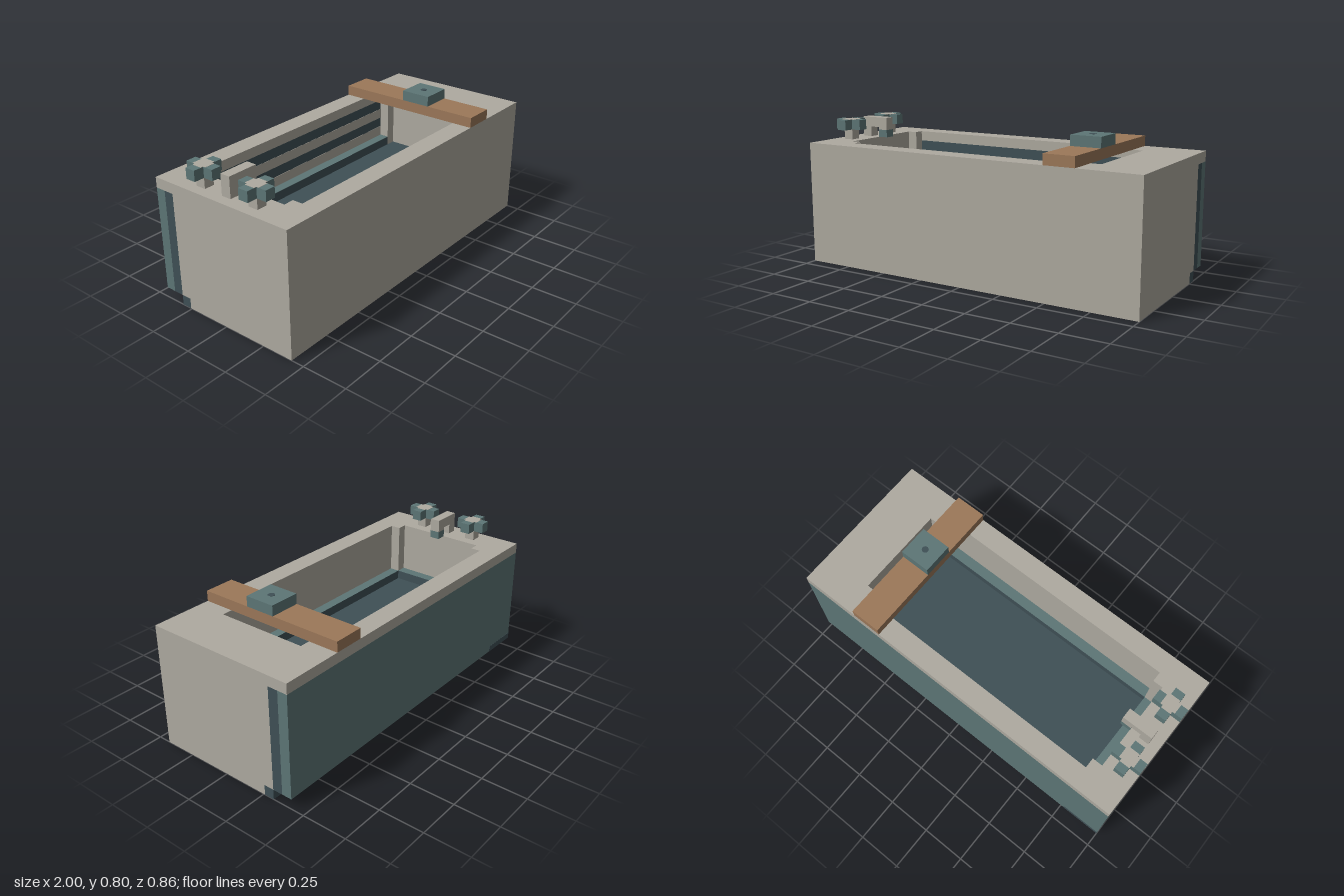
import * as THREE from 'three';

const U = 2 / 35; // one block; the tub is 35 x 14 x 15 blocks
const mat = (name, color) => {
  const m = new THREE.MeshStandardMaterial({ color });
  m.name = name;
  return m;
};

export function createModel() {
  const root = new THREE.Group();
  root.name = 'bathtub';
  const stone = mat('stone grey', 0xaeaaa0);
  const teal = mat('teal', 0x5d7676);
  const dark = mat('dark slate', 0x3f5056);
  const wood = mat('wood brown', 0x9c7859);

  const add = (name, geo, material, parent = root) => {
    geo.translate(-17.5, 0, -7.5);
    geo.scale(U, U, U);
    const mesh = new THREE.Mesh(geo, material);
    mesh.name = name;
    parent.add(mesh);
    return mesh;
  };
  // Box between block coordinates; z counts from the back
  const box = (name, x0, x1, y0, y1, z0, z1, material, parent) => {
    const g = new THREE.BoxGeometry(x1 - x0, y1 - y0, z1 - z0);
    g.translate((x0 + x1) / 2, (y0 + y1) / 2, (z0 + z1) / 2);
    return add(name, g, material, parent);
  };
  // Plan outline extruded between two heights
  const slab = (name, shape, y0, y1, material) => {
    const g = new THREE.ExtrudeGeometry(shape, { depth: y1 - y0, bevelEnabled: false });
    g.rotateX(Math.PI / 2);
    g.translate(0, y1, 0);
    return add(name, g, material);
  };
  // Teal box with one face in another colour
  const sided = (face, other) => Array.from({ length: 6 }, (_, i) => (i === face ? other : teal));
  const pts = (list) => list.map(([x, z]) => new THREE.Vector2(x, z));

  // Basin outline with stepped corners
  const basin = [[4, 2], [4, 3], [3, 3], [3, 12], [4, 12], [4, 13],
    [29, 13], [29, 12], [30, 12], [30, 3], [29, 3], [29, 2]];

  // Tub shell
  const rim = new THREE.Shape(pts([[0, 0], [35, 0], [35, 15], [0, 15]]));
  rim.holes.push(new THREE.Path(pts(basin)));
  slab('rim', rim, 11, 12, stone);
  const wall = new THREE.Shape(pts([[0, 2], ...basin, [35, 2], [35, 15], [0, 15]]));
  slab('tubWalls', wall, 6, 11, stone);
  box('tubBase', 0, 35, 1, 6, 2, 15, stone);
  box('plinth', 0, 35, 0, 1, 3, 15, stone);

  // Layered back
  box('backPanel', 0, 35, 1, 11, 0, 1, sided(3, dark));
  box('backLining', 0, 35, 1, 11, 1, 2, dark);
  box('toeStrip', 0, 35, 0, 1, 2, 3, dark);
  box('panelPatch', 0, 4, 1, 1.6, -0.02, 0.02, dark);

  // Stone bands on the inner back wall
  for (const y of [7, 9]) box('wallBand', 4, 29, y, y + 1, 1.95, 2.03, stone);

  // Basin ledge and floor
  box('backLedge', 4, 29, 6, 7, 2, 3, sided(4, dark));
  box('frontLedge', 4, 29, 6, 7, 12, 13, sided(5, dark));
  box('endLedge', 3, 4, 6, 7, 3, 12, sided(0, dark));
  box('basinFloor', 4, 30, 6, 6.1, 3, 12, dark);

  // Tap handles: crosses on short stems
  for (const z of [4.5, 10.5]) {
    const tap = new THREE.Group();
    tap.name = 'tap';
    root.add(tap);
    box('tapStem', 1, 2, 12, 13, z - 0.5, z + 0.5, stone, tap);
    const cross = new THREE.Shape(pts([[0, -0.5], [1, -0.5], [1, -1.5], [2, -1.5], [2, -0.5], [3, -0.5],
      [3, 0.5], [2, 0.5], [2, 1.5], [1, 1.5], [1, 0.5], [0, 0.5]].map(([x, dz]) => [x, z + dz])));
    tap.add(slab('tapHandle', cross, 13, 14, teal));
    // Stone cap leaving the arm tips teal
    box('tapCap', 0.75, 2.25, 13.99, 14.02, z - 0.5, z + 0.5, stone, tap);
    for (const s of [-1, 1]) {
      box('tapCapArm', 1, 2, 13.99, 14.02, z + s * 0.625 - 0.125, z + s * 0.625 + 0.125, stone, tap);
    }
  }

  // Spout
  box('spoutStem', 1, 2, 12, 13, 7, 8, stone);
  box('spoutArm', 1, 4, 13, 14, 7, 8, stone);
  box('spoutNeck', 3, 4, 12.75, 13, 7, 8, stone);
  box('spoutMouth', 3, 4, 12, 12.75, 7, 8, teal);

  // Bath board with soap
  box('bathBoard', 26, 29, 12, 13, 0, 15, wood);
  box('soap', 26, 29, 13, 14, 7, 10, teal);
  const dot = new THREE.CylinderGeometry(0.33, 0.33, 0.04, 12);
  dot.translate(27.5, 14, 8.5);
  add('soapDot', dot, dark);

  return root;
}
